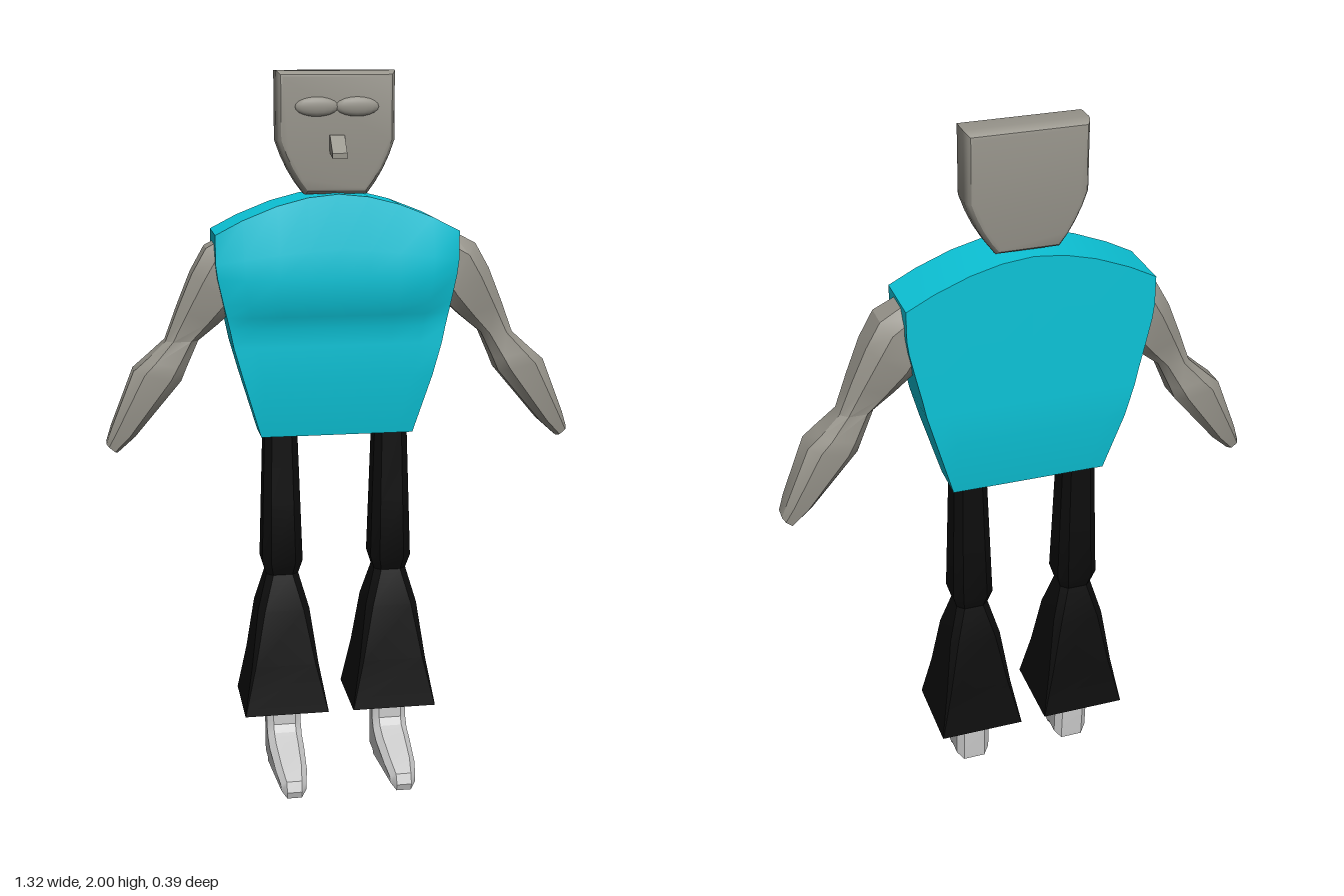
import * as THREE from 'three';
import { toCreasedNormals } from 'three/addons/utils/BufferGeometryUtils.js';

const MID = -0.017; // centre line of torso, head and legs

const paint = (color) => new THREE.MeshStandardMaterial({ color, side: THREE.DoubleSide });

function add(parent, name, geometry, material, crease = 0.5) {
  const mesh = new THREE.Mesh(toCreasedNormals(geometry, crease), material);
  mesh.name = name;
  parent.add(mesh);
  return mesh;
}

// Skins a stack of equal, even-sized rings (counter-clockwise from above, bottom first)
function loft(rings) {
  const n = rings[0].length, last = (rings.length - 1) * n, index = [];
  const quad = (a, b, c, d) => index.push(a, b, c, a, c, d);
  for (let r = 0; r < rings.length - 1; r++)
    for (let i = 0; i < n; i++) {
      const a = r * n + i, b = r * n + (i + 1) % n;
      quad(a, b, b + n, a + n);
    }
  for (let k = 0; k < n / 2 - 1; k++) {
    quad(last + k, last + k + 1, last + n - 2 - k, last + n - 1 - k);
    quad(k, n - 1 - k, n - 2 - k, k + 1);
  }
  const g = new THREE.BufferGeometry();
  g.setAttribute('position', new THREE.Float32BufferAttribute(rings.flat(2), 3));
  g.setIndex(index);
  return g;
}

// Unit square with cut corners, as [u, v] with v towards the front
const chamfered = (c) => [[-1, 1 - c], [-1 + c, 1], [1 - c, 1], [1, 1 - c],
  [1, c - 1], [1 - c, -1], [c - 1, -1], [-1, c - 1]];

// Extrudes a (z, y) side profile across x
function sideProfile(points, width, bevel) {
  const g = new THREE.ExtrudeGeometry(new THREE.Shape(points.map(p => new THREE.Vector2(...p))), {
    depth: width - 2 * bevel, bevelEnabled: bevel > 0, bevelSize: bevel,
    bevelThickness: bevel, bevelOffset: -bevel, bevelSegments: 1,
  });
  g.translate(0, 0, bevel - width / 2);
  return g.rotateY(-Math.PI / 2);
}

function torsoGeometry() {
  const columns = [-1, -0.78, -0.5, -0.25, 0, 0.25, 0.5, 0.78, 1];
  const arch = (u) => 0.105 * (1 - Math.pow(Math.abs(u), 1.8));
  // y, half width, edge front z, chest front z, back z
  const rows = [
    [1.0, 0.215, -0.02, -0.02, -0.135], [1.17, 0.265, 0.01, 0.01, -0.16],
    [1.26, 0.29, 0.01, 0.01, -0.16], [1.31, 0.3, 0.01, 0.012, -0.16],
    [1.345, 0.308, 0.01, 0.024, -0.16], [1.38, 0.316, 0.01, 0.038, -0.16],
    [1.45, 0.331, 0.01, 0.045, -0.16], [1.49, 0.336, 0.01, 0.04, -0.16],
    [1.57, 0.336, 0.01, 0.01, -0.16],
  ];
  return loft(rows.map(([y, w, edge, chest, back]) => {
    const lift = Math.max(0, (y - 1.45) / 0.12);
    const at = (u, z) => [MID + u * w, y + lift * arch(u), z];
    return [
      ...columns.map(u => at(u, Math.abs(u) === 1 ? edge : chest)),
      ...columns.map(u => at(-u, back)),
    ];
  }));
}

function headGeometry() {
  const s = new THREE.Shape();
  s.moveTo(-0.162, 2);
  s.lineTo(-0.162, 1.815);
  s.quadraticCurveTo(-0.135, 1.73, -0.085, 1.67);
  s.lineTo(0.085, 1.67);
  s.quadraticCurveTo(0.135, 1.73, 0.162, 1.815);
  s.lineTo(0.162, 2);
  const g = new THREE.ExtrudeGeometry(s, {
    depth: 0.045, bevelThickness: 0.03, bevelSize: 0.018, bevelOffset: -0.018,
    bevelSegments: 4, curveSegments: 4,
  });
  return g.translate(MID, 0, -0.095);
}

function armGeometry(side) {
  // outer x, y, inner x, y, half depth; hand first
  const sections = [
    [0.66, 0.99, 0.63, 0.965, 0.038], [0.645, 1.035, 0.58, 1.01, 0.048],
    [0.58, 1.195, 0.45, 1.165, 0.063], [0.545, 1.225, 0.435, 1.2, 0.06],
    [0.49, 1.275, 0.4, 1.275, 0.043], [0.455, 1.365, 0.345, 1.32, 0.055],
    [0.415, 1.46, 0.29, 1.37, 0.068], [0.375, 1.53, 0.27, 1.4, 0.07],
    [0.3, 1.57, 0.25, 1.42, 0.058],
  ];
  return loft(sections.map(([ox, oy, ix, iy, d]) => {
    const ring = chamfered(0.45).map(([u, v]) => {
      const t = (u + 1) / 2;
      return [side * (ix + (ox - ix) * t), iy + (oy - iy) * t, -0.075 + v * d];
    });
    return side > 0 ? ring : ring.reverse();
  }));
}

function trouserGeometry() {
  // y, half width, half depth, corner cut
  const sections = [
    [0.19, 0.121, 0.117, 0.01], [0.33, 0.096, 0.092, 0.1], [0.49, 0.074, 0.071, 0.25],
    [0.59, 0.046, 0.045, 0.4], [0.63, 0.058, 0.062, 0.4], [0.8, 0.053, 0.054, 0.4],
    [1.02, 0.046, 0.047, 0.4],
  ];
  return loft(sections.map(([y, w, d, c]) =>
    chamfered(c).map(([u, v]) => [u * w, y, -0.073 + v * d])));
}

function footGeometry() {
  const g = sideProfile([[-0.1, 0.01], [-0.04, 0.01], [-0.03, 0], [0.19, 0], [0.197, 0.02],
    [0.185, 0.048], [0.13, 0.07], [0.03, 0.095], [-0.01, 0.11], [-0.025, 0.13],
    [-0.025, 0.24], [-0.107, 0.24], [-0.107, 0.12]], 0.1, 0.018);
  // narrow the toe
  const p = g.attributes.position;
  for (let i = 0; i < p.count; i++) {
    const t = THREE.MathUtils.clamp((p.getZ(i) - 0.04) / 0.15, 0, 1);
    p.setX(i, p.getX(i) * (1 - 0.35 * t * t));
  }
  return g;
}

export function createModel() {
  const model = new THREE.Group();
  model.name = 'figure';
  const skin = paint(0x96938a), shirt = paint(0x0cc4d8), black = paint(0x0c0c0c), grey = paint(0xcccccc);

  add(model, 'torso', torsoGeometry(), shirt, 0.7);

  // Head with brows and nose
  const head = new THREE.Group();
  head.name = 'head';
  model.add(head);
  add(head, 'skull', headGeometry(), skin);
  for (const side of [-1, 1]) {
    const brow = add(head, side > 0 ? 'leftBrow' : 'rightBrow',
      new THREE.SphereGeometry(1, 16, 10), skin, 1);
    brow.scale.set(0.06, 0.026, 0.013);
    brow.position.set(MID + side * 0.055, 1.905, -0.021);
  }
  const nose = add(head, 'nose', sideProfile([[-0.03, 1.785], [0.03, 1.77], [0.03, 1.785],
    [-0.015, 1.83], [-0.03, 1.83]], 0.04, 0), skin);
  nose.position.x = MID;

  // Arms, flared trouser legs and feet
  for (const side of [-1, 1]) {
    const label = side > 0 ? 'left' : 'right', x = MID + side * 0.157;
    add(model, label + 'Arm', armGeometry(side), skin);
    add(model, label + 'TrouserLeg', trouserGeometry(), black).position.x = x;
    add(model, label + 'Foot', footGeometry(), grey).position.x = x;
  }
  return model;
}
